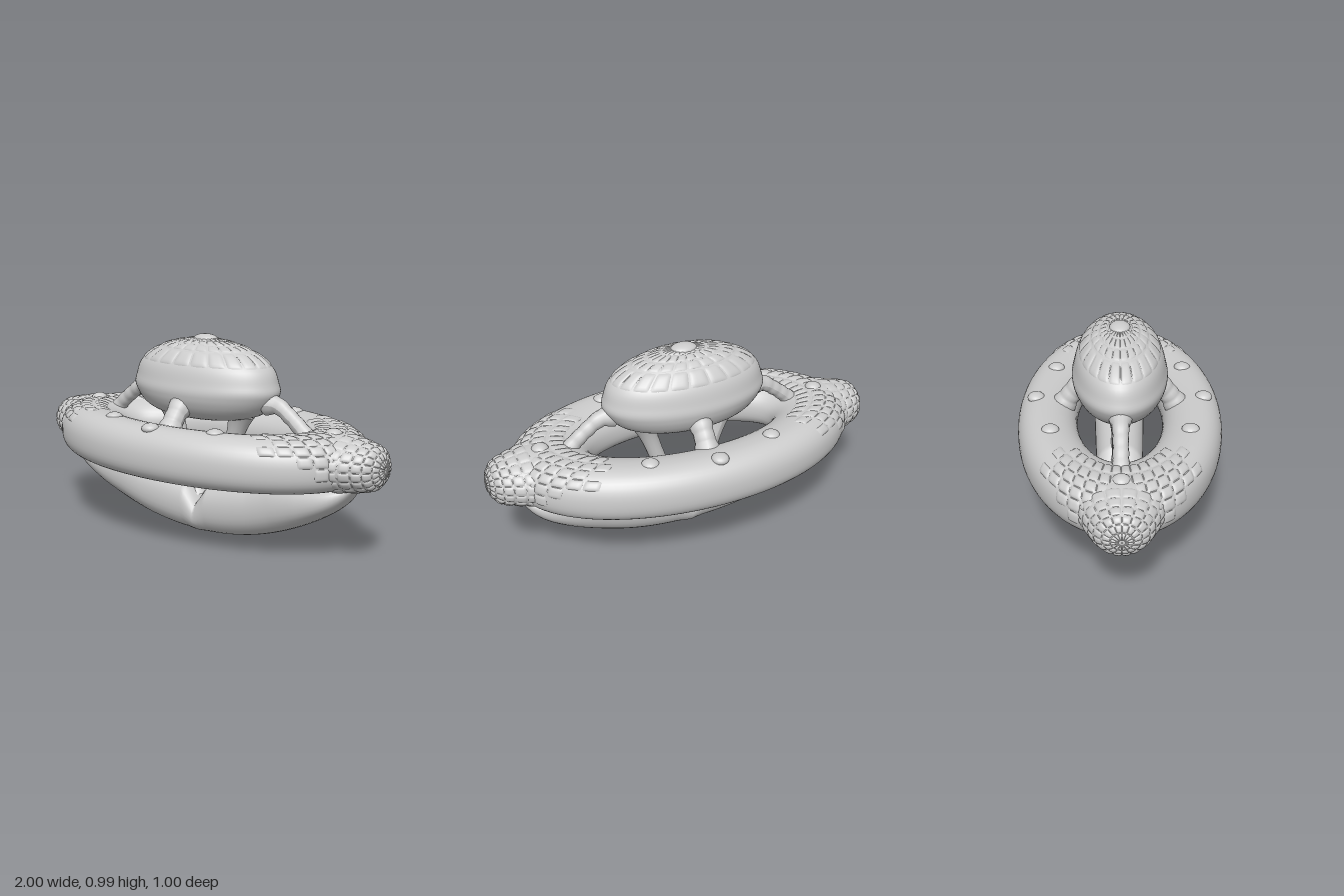
import * as THREE from 'three';
import { mergeGeometries } from 'three/addons/utils/BufferGeometryUtils.js';
import { ParametricGeometry } from 'three/addons/geometries/ParametricGeometry.js';

const TAU = Math.PI * 2;
const grey = new THREE.MeshStandardMaterial({ color: 0xcccccc, side: THREE.DoubleSide });
const V = (x, y, z) => new THREE.Vector3(x, y, z);
// signed power, squares off a circular section
const sp = (v, e) => Math.sign(v) * Math.abs(v) ** e;
const spline = pts => new THREE.SplineCurve(pts.map(p => new THREE.Vector2(...p)));

function add(parent, name, geometry) {
  const mesh = new THREE.Mesh(geometry, grey);
  mesh.name = name;
  parent.add(mesh);
  return mesh;
}

const surface = (f, nu, nv) => new ParametricGeometry((u, v, t) => t.copy(f(u, v)), nu, nv);

// Pillowed tiles laid over a surface f(u, v) within the given ranges
function tiles(f, [u0, u1], [v0, v1], nu, nv, bulge, keep = () => true) {
  const list = [], e = 1e-3, gap = 0.025;
  const du = (u1 - u0) / nu, dv = (v1 - v0) / nv;
  for (let i = 0; i < nu; i++) for (let j = 0; j < nv; j++) {
    if (!keep(i, j)) continue;
    list.push(surface((s, t) => {
      const u = u0 + du * (i + gap + s * (1 - 2 * gap));
      const v = v0 + dv * (j + gap + t * (1 - 2 * gap));
      const p = f(u, v);
      const n = f(u + e, v).sub(f(u - e, v)).cross(f(u, v + e).sub(f(u, v - e))).normalize();
      const h = (1 - (2 * s - 1) ** 4) * (1 - (2 * t - 1) ** 4);
      return p.addScaledVector(n, bulge * h - 0.001);
    }, 8, 8));
  }
  return mergeGeometries(list);
}

// Round tube along points, with radius given by a function of 0..1
function taperedTube(points, radius, sides = 14) {
  const curve = new THREE.CatmullRomCurve3(points), segs = 32;
  const g = new THREE.TubeGeometry(curve, segs, 1, sides);
  const p = g.attributes.position, q = V();
  for (let k = 0; k < p.count; k++) {
    const t = Math.floor(k / (sides + 1)) / segs, c = curve.getPointAt(t);
    q.fromBufferAttribute(p, k).sub(c).multiplyScalar(radius(t)).add(c);
    p.setXYZ(k, q.x, q.y, q.z);
  }
  g.computeVertexNormals();
  return g;
}

// Oval ring hull: domed above, flatter below, sloping further in towards the hole
function ringPoint(u, v) {
  const a = u * TAU, s = v * TAU, low = Math.sin(s) < 0;
  const c = sp(Math.cos(s), low ? 0.65 : 0.95);
  const y = 0.46 + (low ? 0.108 : 0.14) * sp(Math.sin(s), 0.85);
  const wx = c > 0 ? 0.16 : 0.24, wz = c > 0 ? 0.12 : 0.17;
  return V((0.72 + wx * c) * Math.cos(a), y, -(0.38 + wz * c) * Math.sin(a));
}

// Rounded nose pointing along +x
const noseProfile = spline([
  [0.68, 0.18], [0.76, 0.195], [0.83, 0.175], [0.89, 0.148], [0.94, 0.12], [0.975, 0.08], [0.992, 0.04], [0.997, 0.002],
]);
function nosePoint(u, v) {
  const { x, y: r } = noseProfile.getPoint(v), a = u * TAU;
  const h = Math.min(r * 0.9, 0.05 + r * 0.42);
  return V(x, 0.47 + h * Math.cos(a), r * Math.sin(a));
}

// Oval cabin
const cabinProfile = spline([
  [0.002, 0.585], [0.2, 0.592], [0.34, 0.635], [0.41, 0.72], [0.405, 0.78], [0.37, 0.855], [0.26, 0.925], [0.12, 0.963], [0.002, 0.972],
]);
function cabinPoint(u, v) {
  const { x: r, y } = cabinProfile.getPoint(v), a = u * TAU;
  const k = 0.565 - 0.2 * Math.max(0, y - 0.7);
  return V(r * Math.cos(a), y, -r * k * Math.sin(a));
}

// Curved keel, deepest at the middle, with a notch on top and raised strut feet
const keelTop = [[0, 0.17], [0.07, 0.27], [0.2, 0.292], [0.32, 0.312], [0.47, 0.36], [0.86, 0.375]];
function keelPoint(u, v) {
  const x = (u * 2 - 1) * 0.85, ax = Math.abs(x), k = ax / 0.85, s = v * TAU;
  const i = keelTop.findIndex(p => p[0] > ax), [x0, y0] = keelTop[i - 1], [x1, y1] = keelTop[i];
  const high = y0 + (y1 - y0) * (ax - x0) / (x1 - x0);
  const low = 0.005 + 0.29 * k ** 2.1 + 0.05 * k ** 20;
  const w = (0.118 + 0.022 * Math.min(1, k * 1.4)) * (1 - 0.7 * k ** 14);
  return V(x, (low + high) / 2 + (high - low) / 2 * sp(Math.cos(s), 0.9), -w * sp(Math.sin(s), 0.85));
}

export function createModel() {
  const model = new THREE.Group();
  model.name = 'ringVessel';

  add(model, 'ringHull', surface(ringPoint, 96, 40));
  add(model, 'keel', surface(keelPoint, 86, 32));
  add(model, 'cabin', surface(cabinPoint, 64, 40));

  // Roof: tall lower panels, then shorter rows towards the button
  add(model, 'roofPanels', tiles(cabinPoint, [0, 1], [0.625, 0.745], 22, 1, 0.006));
  add(model, 'roofTiles', tiles(cabinPoint, [0, 1], [0.745, 0.95], 22, 3, 0.005));
  const button = add(model, 'roofButton', new THREE.SphereGeometry(1, 24, 16));
  button.scale.set(0.065, 0.025, 0.05);
  button.position.y = 0.967;

  // Each end: nose, tiled shoulders, arm and cabin strut
  for (const [side, turn] of [['left', 0], ['right', Math.PI]]) {
    const end = new THREE.Group();
    end.name = side + 'End';
    end.rotation.y = turn;
    model.add(end);
    add(end, 'nose', surface(nosePoint, 40, 28));
    add(end, 'noseTiles', tiles(nosePoint, [0, 1], [0.2, 0.95], 16, 6, 0.006));
    // stepped edge on the shoulder tiling
    const stepped = (i, j) => Math.min(i, 13 - i) >= (j < 2 ? 3 - j : j % 2);
    add(end, 'shoulderTiles', tiles(ringPoint, [-0.135, 0.135], [-0.04, 0.33], 14, 6, 0.007, stepped));
    // arm with flared collars
    add(end, 'sideArm', taperedTube(
      [V(0.37, 0.69, 0), V(0.43, 0.685, 0), V(0.5, 0.64, 0), V(0.57, 0.58, 0), V(0.62, 0.52, 0)],
      t => 0.034 + 0.022 * Math.abs(2 * t - 1) ** 3 + 0.003 * Math.abs(Math.sin(t * 18))));
    add(end, 'cabinStrut', taperedTube(
      [V(0.06, 0.17, 0), V(0.11, 0.3, 0), V(0.15, 0.42, 0), V(0.22, 0.63, 0)],
      t => 0.04 + 0.03 * Math.abs(2 * t - 1) ** 3));
  }

  // Short flared brackets before and behind the cabin
  for (const [name, s] of [['frontBracket', 1], ['backBracket', -1]]) {
    add(model, name, taperedTube(
      [V(0, 0.68, 0.16 * s), V(0, 0.66, 0.19 * s), V(0, 0.615, 0.235 * s), V(0, 0.53, 0.29 * s)],
      t => 0.048 + 0.028 * Math.abs(2 * t - 1) ** 2 + 0.003 * Math.abs(Math.sin(t * 15))));
  }

  // Domed studs around the top of the ring
  for (const [x, z] of [[0, 0.41], [0, -0.41], [0.31, 0.325], [-0.31, 0.325], [0.31, -0.325], [-0.31, -0.325], [0.73, 0], [-0.73, 0]]) {
    const stud = add(model, 'stud', new THREE.SphereGeometry(0.042, 20, 14));
    stud.scale.y = x * x > 0.5 ? 0.7 : 0.6;
    stud.position.set(x, 0.592, z);
  }
  return model;
}
